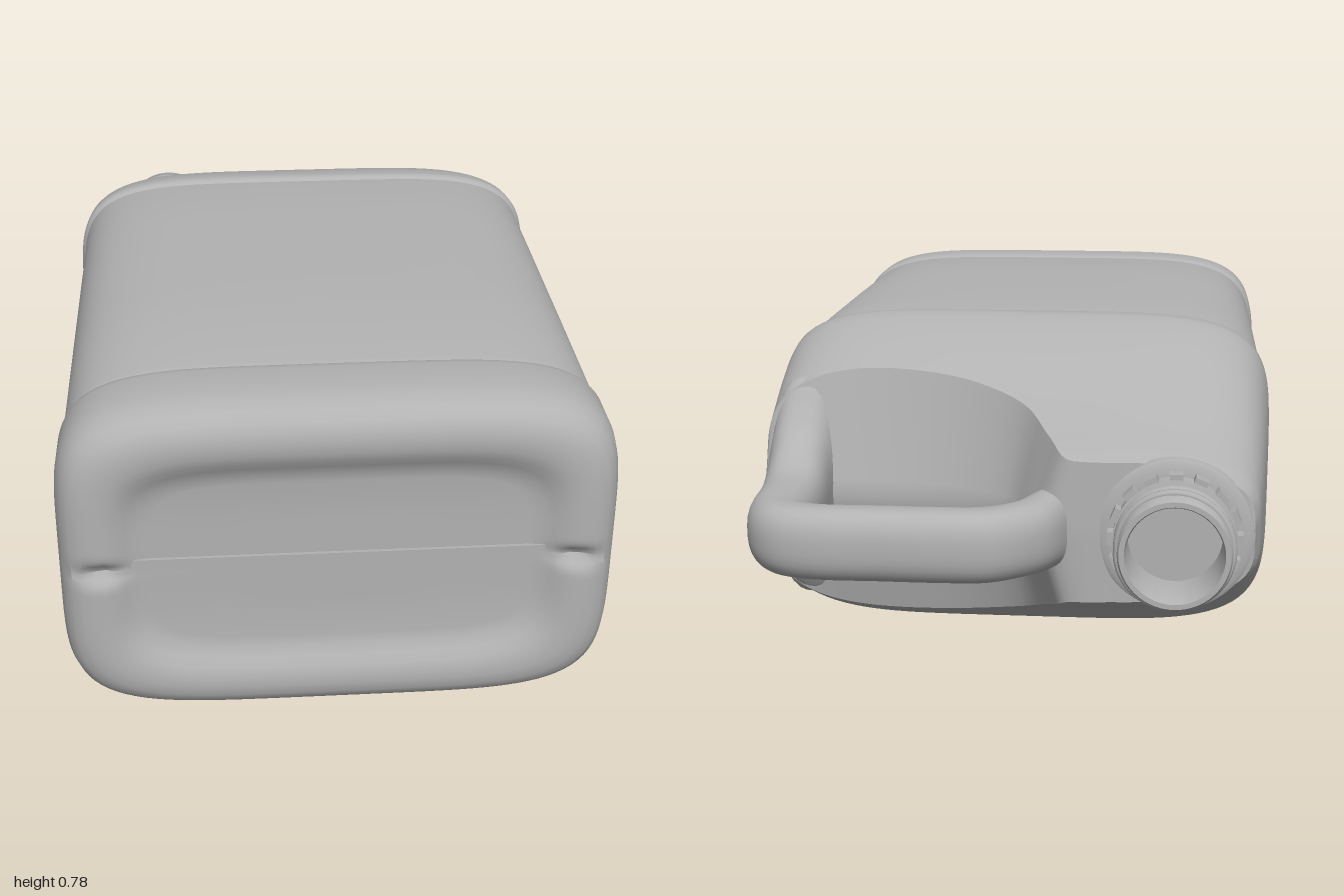
import * as THREE from 'three';
import { toCreasedNormals } from 'three/addons/utils/BufferGeometryUtils.js';

const CY = 0.39; // height of the long axis of the jug
const lerp = THREE.MathUtils.lerp;

// Smooth lookup in rows [key, a, b, ...] with ascending keys
function lookup(rows, key, col) {
  let i = 0;
  while (i < rows.length - 2 && key > rows[i + 1][0]) i++;
  const slope = k => {
    const p = rows[Math.max(k - 1, 0)], q = rows[Math.min(k + 1, rows.length - 1)];
    return (q[col] - p[col]) / (q[0] - p[0]);
  };
  const d = rows[i + 1][0] - rows[i][0];
  const t = THREE.MathUtils.clamp((key - rows[i][0]) / d, 0, 1), u = 1 - t;
  return rows[i][col] * u * u * (1 + 2 * t) + rows[i + 1][col] * t * t * (3 - 2 * t)
    + slope(i) * d * t * u * u - slope(i + 1) * d * t * t * u;
}

// Unit rounded rectangle (superellipse)
function unitRing(count, n) {
  return Array.from({ length: count }, (_, j) => {
    const a = j / count * Math.PI * 2, c = Math.cos(a), s = Math.sin(a);
    const r = Math.pow(Math.abs(c) ** n + Math.abs(s) ** n, -1 / n);
    return [c * r, s * r];
  });
}

// Skin closed rings of [x, y, z] points
function loft(rings, crease) {
  const n = rings[0].length, index = [];
  for (let i = 0; i < rings.length - 1; i++) {
    for (let j = 0; j < n; j++) {
      const a = i * n + j, b = i * n + (j + 1) % n, c = a + n, d = b + n;
      index.push(a, c, b, b, c, d);
    }
  }
  const g = new THREE.BufferGeometry();
  g.setAttribute('position', new THREE.Float32BufferAttribute(rings.flat(2), 3));
  g.setIndex(index);
  return toCreasedNormals(g, crease);
}

// Base and straight walls: z, half width, half height
const WALLS = [
  [0.965, 0, 0], [0.965, 0.2, 0.1], [0.965, 0.41, 0.2], [0.969, 0.435, 0.222], [0.98, 0.458, 0.245],
  [0.992, 0.478, 0.265], [0.998, 0.5, 0.285], [1, 0.525, 0.31], [0.996, 0.55, 0.335], [0.985, 0.573, 0.357],
  [0.965, 0.59, 0.374], [0.935, 0.601, 0.385], [0.9, 0.605, 0.39], [0.81, 0.605, 0.39],
  [0.795, 0.602, 0.387], [0.785, 0.595, 0.382], [0.77, 0.596, 0.385], [0.4, 0.596, 0.388], [0, 0.596, 0.388],
  [-0.22, 0.596, 0.385], [-0.235, 0.597, 0.383], [-0.243, 0.603, 0.388],
];
// Shoulder taper: -z, half width, half height
const TAPER = [
  [0.25, 0.605, 0.391], [0.3, 0.603, 0.384], [0.4, 0.597, 0.35], [0.5, 0.59, 0.305], [0.6, 0.582, 0.256],
  [0.7, 0.573, 0.212], [0.8, 0.562, 0.174], [0.825, 0.55, 0.16],
];
// Shoulder end: across, rim across, rim z, seam across, seam z
const END = [
  [-1, -1, -0.82, -1, -0.825], [-0.5, -0.55, -0.82, -0.55, -0.825], [-0.2, -0.26, -0.82, -0.18, -0.825],
  [-0.05, -0.17, -0.74, -0.075, -0.75], [0.05, -0.07, -0.64, 0, -0.675], [0.2, 0.13, -0.565, 0.17, -0.62],
  [0.4, 0.38, -0.525, 0.38, -0.59], [0.7, 0.7, -0.51, 0.7, -0.58], [1, 1, -0.53, 1, -0.57],
];

function bodyGeometry() {
  const unit = unitRing(192, 5);
  const rings = WALLS.map(([z, w, h]) => unit.map(([sx, sy]) => {
    // small parting notch where the seam crosses the base rim
    const x = sx * w, y = sy * h;
    const notch = z > 0.95 ? 0.028 * Math.exp(-((y / 0.022) ** 2) - (((Math.abs(x) - 0.51) / 0.04) ** 2)) : 0;
    return [x, CY + y, z - notch];
  }));
  // point on the tapering shoulder
  const shoulder = (sx, sy, t) => {
    const z = lerp(-0.25, lookup(END, sx, 2), t);
    const q = THREE.MathUtils.clamp(lerp(sx, lookup(END, sx, 1), t), -1, 1);
    const n = lerp(5, 3.6, THREE.MathUtils.clamp((-z - 0.25) / 0.57, 0, 1));
    const y = Math.pow(Math.max(0, 1 - Math.abs(q) ** n), 1 / n);
    return [q * lookup(TAPER, -z, 1), Math.sign(sy) * y * lookup(TAPER, -z, 2), z];
  };
  for (let i = 0; i <= 20; i++) {
    rings.push(unit.map(([sx, sy]) => {
      const [x, y, z] = shoulder(sx, sy, i / 20);
      return [x, CY + y, z];
    }));
  }
  // end wall and grip scoop, closing on the centre seam
  for (let i = 1; i <= 8; i++) {
    const k = i / 8;
    rings.push(unit.map(([sx, sy]) => {
      const [x, y, z] = shoulder(sx, sy, 1);
      const seamX = lookup(END, sx, 3) * lookup(TAPER, -z, 1);
      return [lerp(x, seamX, k), CY + y * (1 - k), lerp(z, lookup(END, sx, 4), k)];
    }));
  }
  return loft(rings, 0.6);
}

// Handle: x, z, half width in plan, half thickness in y
const HANDLE = [
  [-0.13, -0.74, 0.05, 0.09], [-0.1, -0.8, 0.055, 0.085], [-0.06, -0.87, 0.06, 0.08], [0.02, -0.93, 0.06, 0.08],
  [0.12, -0.94, 0.06, 0.08], [0.25, -0.94, 0.06, 0.08], [0.38, -0.94, 0.06, 0.08], [0.455, -0.912, 0.066, 0.08],
  [0.485, -0.84, 0.072, 0.08], [0.492, -0.7, 0.073, 0.09], [0.498, -0.6, 0.076, 0.145], [0.5, -0.55, 0.08, 0.2],
  [0.497, -0.5, 0.085, 0.265], [0.49, -0.44, 0.085, 0.25],
];

function handleGeometry() {
  const path = new THREE.CatmullRomCurve3(HANDLE.map(p => new THREE.Vector3(p[0], CY, p[1])));
  const size = new THREE.CatmullRomCurve3(HANDLE.map(p => new THREE.Vector3(p[2], p[3], 0)));
  path.curveType = size.curveType = 'catmullrom';
  const unit = unitRing(36, 2.6), rings = [];
  for (let i = 0; i <= 90; i++) {
    const p = path.getPoint(i / 90), t = path.getTangent(i / 90), s = size.getPoint(i / 90);
    rings.push(unit.map(([u, v]) => [p.x - t.z * u * s.x, p.y + v * s.y, p.z + t.x * u * s.x]));
  }
  return loft(rings, 1);
}

export function createModel() {
  const plastic = new THREE.MeshStandardMaterial({ color: 0xb2b2b2 });
  plastic.name = 'grey plastic';
  const model = new THREE.Group();
  model.name = 'jug';
  const add = (parent, name, geometry) => {
    const mesh = new THREE.Mesh(geometry, plastic);
    mesh.name = name;
    parent.add(mesh);
    return mesh;
  };

  add(model, 'body', bodyGeometry());
  add(model, 'handle', handleGeometry());
  add(model, 'baseSeam', new THREE.BoxGeometry(0.92, 0.022, 0.012)).position.set(0, 0.4, 0.966);

  // Neck, built upright then turned to point along -z
  const neck = new THREE.Group();
  neck.name = 'neck';
  neck.position.set(-0.38, CY, -0.81);
  neck.rotation.x = -Math.PI / 2;
  model.add(neck);
  const profile = [
    [0.172, 0], [0.17, 0.016], [0.16, 0.022], [0.134, 0.024], [0.134, 0.06], [0.121, 0.063],
    [0.121, 0.162], [0.117, 0.168], [0.106, 0.168], [0.103, 0.162], [0.103, 0.02], [0, 0.02],
  ].map(p => new THREE.Vector2(...p));
  add(neck, 'spout', toCreasedNormals(new THREE.LatheGeometry(profile, 56), 0.6));

  // Screw thread
  const turns = [];
  for (let i = 0; i <= 64; i++) {
    const a = i / 64 * Math.PI * 4;
    turns.push(new THREE.Vector3(Math.cos(a) * 0.122, 0.08 + 0.062 * i / 64, Math.sin(a) * 0.122));
  }
  add(neck, 'thread', new THREE.TubeGeometry(new THREE.CatmullRomCurve3(turns), 160, 0.009, 8));

  // Locking teeth around the collar
  for (let i = 0; i < 16; i++) {
    const a = i / 16 * Math.PI * 2;
    const tooth = add(neck, 'collarTooth', new THREE.BoxGeometry(0.02, 0.034, 0.03));
    tooth.position.set(Math.cos(a) * 0.136, 0.04, Math.sin(a) * 0.136);
    tooth.rotation.y = -a;
  }
  return model;
}
